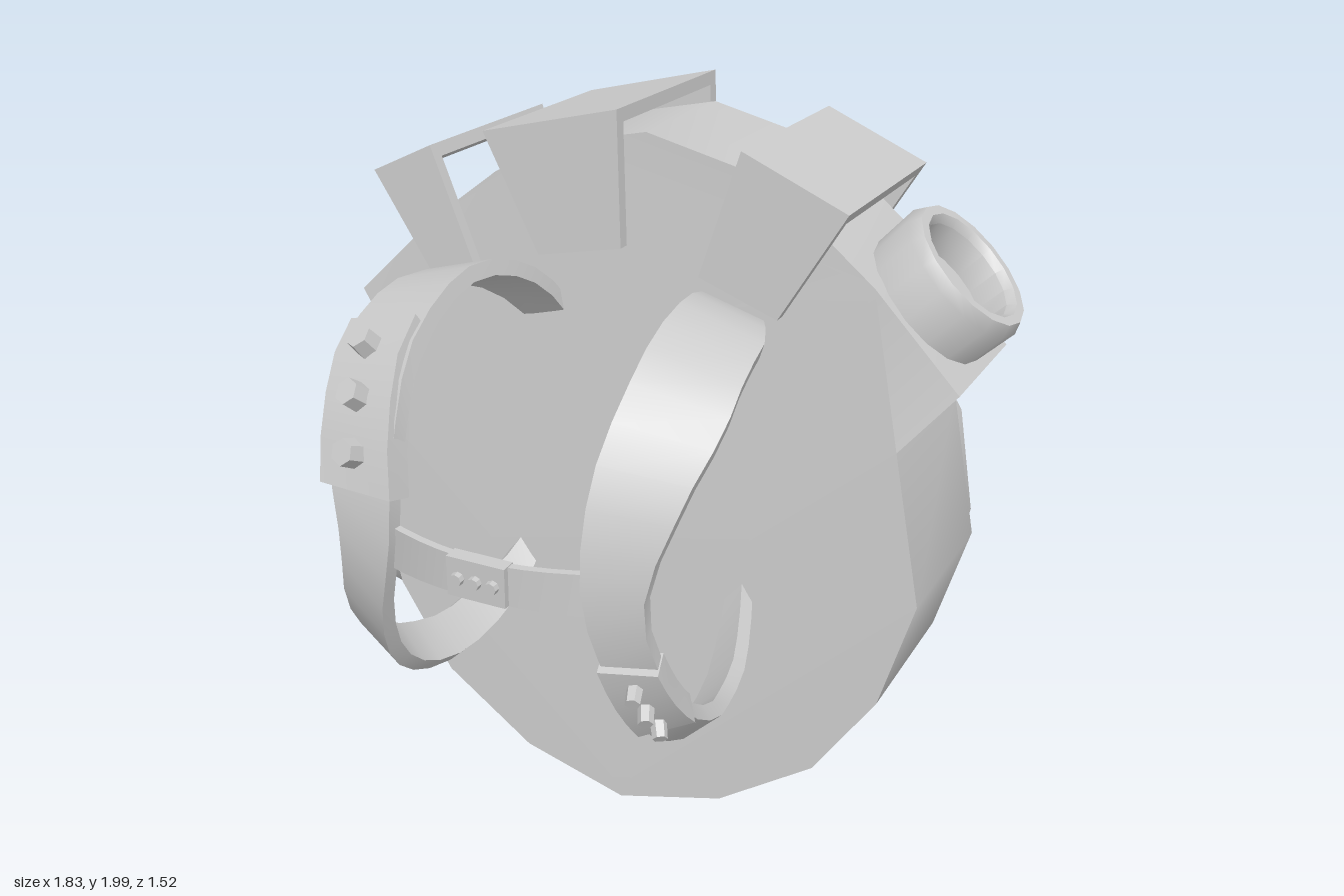
import * as THREE from 'three';
import { toCreasedNormals } from 'three/addons/utils/BufferGeometryUtils.js';

const material = new THREE.MeshStandardMaterial({ color: 0xcccccc });
const UP = new THREE.Vector3(0, 1, 0);

function add(parent, name, geometry, crease = 0.65) {
  const mesh = new THREE.Mesh(toCreasedNormals(geometry, crease), material);
  mesh.name = name;
  parent.add(mesh);
  return mesh;
}

// Flat outline extruded between two depths
function slab(points, z0, z1) {
  const shape = new THREE.Shape(points.map(([x, y]) => new THREE.Vector2(x, y)));
  const g = new THREE.ExtrudeGeometry(shape, { depth: z1 - z0, bevelEnabled: false });
  return g.translate(0, 0, z0);
}

function lathe(points, segments) {
  return new THREE.LatheGeometry(points.map(([r, y]) => new THREE.Vector2(r, y)), segments);
}

// Strap centre line: x, half width and roll at even steps from the upper to the lower end
const strapKeys = new THREE.CatmullRomCurve3([
  [0.27, 0.06, 0.2], [0.32, 0.08, 0.25], [0.375, 0.11, 0.3], [0.38, 0.115, 0.3],
  [0.35, 0.105, 0.2], [0.32, 0.075, 0.1], [0.36, 0.065, 0.3], [0.39, 0.06, 0.6],
  [0.385, 0.06, 0.8], [0.36, 0.055, 0.8], [0.31, 0.03, 0.6],
].map((k) => new THREE.Vector3(...k)));
const START = 140, END = -135;

function strapFrame(degrees, side) {
  const k = strapKeys.getPoint((START - degrees) / (START - END));
  const t = THREE.MathUtils.degToRad(degrees);
  const sin = Math.sin(t), cos = Math.cos(t);
  const sr = Math.sin(k.z), cr = Math.cos(k.z);
  return {
    center: new THREE.Vector3(side * k.x, 1.115 + 0.5 * sin, 0.24 + 0.45 * cos),
    across: new THREE.Vector3(side * cr, -sr * sin, -sr * cos),
    normal: new THREE.Vector3(side * sr, cr * sin, cr * cos),
    half: k.y,
  };
}

// Closed band with a rectangular section swept along the strap line
function band(side, from, to, steps, inner, outer, width) {
  const positions = [], index = [];
  for (let i = 0; i <= steps; i++) {
    const f = strapFrame(from + ((to - from) * i) / steps, side);
    const w = width ?? f.half;
    for (const [a, n] of [[-w, inner], [w, inner], [w, outer], [-w, outer]]) {
      const p = f.center.clone().addScaledVector(f.across, a).addScaledVector(f.normal, n);
      positions.push(p.x, p.y, p.z);
    }
  }
  const quad = (a, b, c, d) =>
    side > 0 ? index.push(a, b, c, a, c, d) : index.push(a, c, b, a, d, c);
  for (let i = 0; i < steps; i++) {
    for (let j = 0; j < 4; j++) {
      const a = i * 4 + j, b = i * 4 + ((j + 1) % 4);
      quad(a, b, b + 4, a + 4);
    }
  }
  const e = steps * 4;
  quad(3, 2, 1, 0);
  quad(e, e + 1, e + 2, e + 3);
  const g = new THREE.BufferGeometry();
  g.setAttribute('position', new THREE.Float32BufferAttribute(positions, 3));
  g.setIndex(index);
  return g;
}

function bolt(parent, name, position, direction, radius, height, sides) {
  const mesh = add(parent, name, new THREE.CylinderGeometry(radius * 0.9, radius, height, sides), 0.5);
  mesh.position.copy(position);
  mesh.quaternion.setFromUnitVectors(UP, direction);
}

// Buckle plate over a strap with a row of bolts
function buckle(parent, name, side, from, to, width, boltRadius) {
  const group = new THREE.Group();
  group.name = name;
  parent.add(group);
  add(group, 'bucklePlate', band(side, from, to, 4, -0.03, 0.04, width), 0.5);
  for (const u of [0.2, 0.5, 0.8]) {
    const f = strapFrame(from + (to - from) * u, side);
    const p = f.center.clone().addScaledVector(f.normal, 0.055);
    bolt(group, 'buckleBolt', p, f.normal, boltRadius, 0.05, 6);
  }
}

export function createModel() {
  const model = new THREE.Group();
  model.name = 'backpack';

  // The pack leans slightly backwards
  const pack = new THREE.Group();
  pack.name = 'pack';
  pack.position.set(0, 0.03, 0.005);
  pack.rotation.x = -0.054;
  model.add(pack);

  // Body: rounded lower part, narrow neck, flared head slightly thinner in depth
  const half = [[0.3, 0.085], [0.56, 0.265], [0.72, 0.51], [0.8, 0.81], [0.71, 1.21],
    [0.84, 1.37], [0.61, 1.6], [0.42, 1.75], [0.24, 1.845]];
  const outline = [[0, 0], ...half, [0, 1.9], ...half.map(([x, y]) => [-x, y]).reverse()];
  const bodyGeometry = slab(outline, -0.5, 0);
  const p = bodyGeometry.attributes.position;
  for (let i = 0; i < p.count; i++) {
    if (p.getY(i) > 1.3) p.setZ(i, -0.25 + (p.getZ(i) + 0.25) * 0.86);
  }
  add(pack, 'body', bodyGeometry);

  // Round back cover with a groove, a raised ring and a sunken centre
  const cover = lathe([[0.755, 0.45], [0.755, 0.65], [0.73, 0.68], [0.59, 0.68], [0.565, 0.665],
    [0.53, 0.58], [0.46, 0.58], [0.44, 0.65], [0.425, 0.665], [0.32, 0.665], [0.3, 0.65],
    [0.285, 0.57], [0, 0.57]], 16);
  add(pack, 'backCover', cover.rotateX(-Math.PI / 2)).position.y = 0.81;

  // Clips wrapped over the head: top left, top right, bottom right, bottom left corners
  const clips = [
    [[-0.735, 1.73], [-0.565, 1.815], [-0.43, 1.5], [-0.535, 1.435]],
    [[-0.41, 1.87], [-0.04, 1.965], [-0.02, 1.625], [-0.25, 1.575]],
    [[0.285, 1.905], [0.56, 1.79], [0.4, 1.51], [0.19, 1.585]],
  ];
  for (const [a, b, c, d] of clips) {
    const clip = new THREE.Group();
    clip.name = 'clip';
    pack.add(clip);
    const toward = (m, n) => {
      const s = 0.035 / Math.hypot(n[0] - m[0], n[1] - m[1]);
      return [m[0] + (n[0] - m[0]) * s, m[1] + (n[1] - m[1]) * s];
    };
    const a2 = toward(a, d), b2 = toward(b, c);
    add(clip, 'clipTop', slab([a, b, b2, a2], -0.55, 0.05));
    add(clip, 'clipFront', slab([a2, b2, c, d], 0.015, 0.05));
    add(clip, 'clipBack', slab([a2, b2, c, d], -0.55, -0.515));
  }

  // Hollow round ports on the upper left and lower right edges
  const portProfile = [[0.185, -0.28], [0.195, -0.03], [0.18, 0], [0.155, 0],
    [0.14, -0.02], [0.135, -0.1], [0, -0.1]];
  for (const [name, x, y, ax, ay] of [
    ['upperPort', 0.785, 1.63, 0.69, 0.72],
    ['lowerPort', -0.865, 0.57, -0.96, -0.285],
  ]) {
    const port = add(pack, name, lathe(portProfile, 16));
    port.position.set(x, y, -0.25);
    port.quaternion.setFromUnitVectors(UP, new THREE.Vector3(ax, ay, 0).normalize());
  }

  // Shoulder straps and their buckles
  for (const side of [1, -1]) {
    add(model, side > 0 ? 'leftStrap' : 'rightStrap', band(side, START, END, 26, -0.02, 0.02));
  }
  buckle(model, 'upperBuckle', -1, 62, 15, 0.105, 0.036);
  buckle(model, 'lowerBuckle', 1, -18, -44, 0.07, 0.02);

  // Chest strap bowed forward between the shoulder straps
  const chest = new THREE.BoxGeometry(0.56, 0.095, 0.02, 10, 1, 1);
  const c = chest.attributes.position;
  for (let i = 0; i < c.count; i++) {
    const x = c.getX(i);
    c.setZ(i, c.getZ(i) + 0.725 - 0.7 * x * x);
    c.setY(i, c.getY(i) * (1 + Math.abs(x) * 0.6));
  }
  add(model, 'chestStrap', chest).position.y = 1.115;
  add(model, 'chestBuckle', new THREE.BoxGeometry(0.15, 0.1, 0.04)).position.set(0, 1.117, 0.727);
  for (const x of [-0.045, 0, 0.045]) {
    bolt(model, 'chestRivet', new THREE.Vector3(x, 1.117, 0.75), new THREE.Vector3(0, 0, 1), 0.017, 0.025, 8);
  }

  return model;
}
